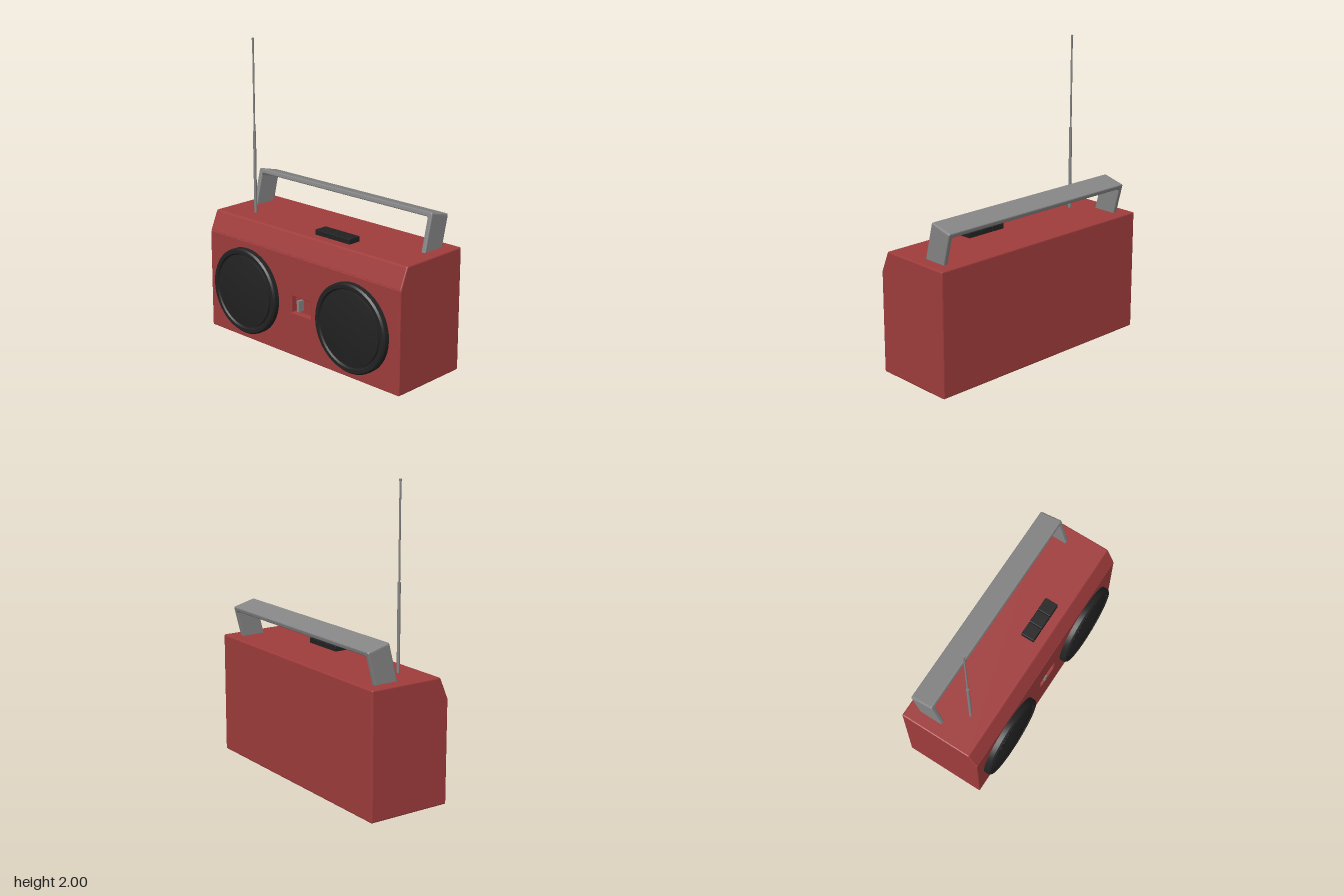
import * as THREE from 'three';
import { toCreasedNormals } from 'three/addons/utils/BufferGeometryUtils.js';
import { RoundedBoxGeometry } from 'three/addons/geometries/RoundedBoxGeometry.js';

const paint = (name, color) => {
  const m = new THREE.MeshStandardMaterial({ color });
  m.name = name;
  return m;
};

// Closed outline with its corners rounded by radius r
function outline(points, r) {
  const pts = points.map(([x, y]) => new THREE.Vector2(x, y));
  const shape = new THREE.Shape();
  pts.forEach((p, i) => {
    const prev = pts[(i + pts.length - 1) % pts.length];
    const next = pts[(i + 1) % pts.length];
    const a = prev.clone().sub(p).setLength(r).add(p);
    const b = next.clone().sub(p).setLength(r).add(p);
    if (i === 0) shape.moveTo(a.x, a.y);
    else shape.lineTo(a.x, a.y);
    shape.quadraticCurveTo(p.x, p.y, b.x, b.y);
  });
  shape.closePath();
  return shape;
}

// Extrusion centred on its depth, with a small bevel inside the outline
function slab(shape, depth, bevel) {
  const geo = new THREE.ExtrudeGeometry(shape, {
    depth: depth - 2 * bevel, bevelEnabled: true, bevelThickness: bevel,
    bevelSize: bevel, bevelOffset: -bevel, bevelSegments: 2, curveSegments: 3,
  });
  return geo.translate(0, 0, bevel - depth / 2);
}

export function createModel() {
  const model = new THREE.Group();
  model.name = 'radio';
  const red = paint('red casing', 0xa03c3c);
  const black = paint('black plastic', 0x222222);
  const grey = paint('grey metal', 0x858585);

  const add = (name, geo, mat, x = 0, y = 0, z = 0, parent = model) => {
    const mesh = new THREE.Mesh(geo, mat);
    mesh.name = name;
    mesh.position.set(x, y, z);
    parent.add(mesh);
    return mesh;
  };

  // Casing: side profile with a sloped upper edge
  add('casing', slab(outline([
    [-0.215, 0], [0.315, 0], [0.315, 0.82], [-0.195, 0.82], [-0.255, 0.68], [-0.215, 0.68],
  ], 0.01), 1.7, 0.008), red);

  // Speaker panel with a recessed slot for the switch
  const panel = outline([[-0.85, 0], [0.85, 0], [0.85, 0.685], [-0.85, 0.685]], 0.01);
  const slot = new THREE.Path();
  slot.moveTo(-0.07, 0.3).lineTo(-0.07, 0.41).lineTo(0.1, 0.41).lineTo(0.1, 0.3).closePath();
  panel.holes.push(slot);
  add('speakerPanel', slab(panel, 0.066, 0.006).rotateY(-Math.PI / 2).scale(1, 1, 1), red, -0.222, 0, -0.03 + 0.03);

  // Switch lever inside the slot
  add('switchLever', new THREE.BoxGeometry(0.05, 0.075, 0.02), grey, -0.235, 0.355, -0.01);

  // Speakers: rim, groove and domed cover
  const profile = [
    [0.295, 0], [0.295, 0.034], [0.285, 0.046], [0.262, 0.046], [0.254, 0.032], [0.247, 0.032], [0.245, 0.044],
  ].map(([r, h]) => new THREE.Vector2(r, h));
  for (let i = 5; i >= 0; i--) {
    const t = i / 6;
    profile.push(new THREE.Vector2(0.245 * t, 0.066 - 0.022 * t * t));
  }
  const speaker = toCreasedNormals(new THREE.LatheGeometry(profile, 40), 0.5).rotateZ(Math.PI / 2);
  for (const z of [-0.484, 0.469]) add('speaker', speaker, black, -0.254, 0.345, z);

  // Row of push buttons
  for (let i = 0; i < 3; i++) {
    add('pushButton', new RoundedBoxGeometry(0.095, 0.045, 0.097, 2, 0.004), black, -0.083, 0.832, 0.07 + i * 0.101);
  }

  // Carrying handle, tilted back
  const arch = outline([
    [-0.765, -0.05], [-0.733, -0.05], [-0.733, 0.201], [0.733, 0.201],
    [0.733, -0.05], [0.765, -0.05], [0.765, 0.233], [-0.765, 0.233],
  ], 0.014);
  const handle = add('handle', slab(arch, 0.162, 0.007).rotateY(Math.PI / 2), grey, 0.15, 0.82, 0);
  handle.rotation.z = -0.25;

  // Telescopic antenna
  const antenna = new THREE.Group();
  antenna.name = 'antenna';
  antenna.position.set(-0.057, 0, -0.612);
  model.add(antenna);
  for (const [r, y0, y1] of [[0.01, 0.8, 1.38], [0.006, 1.38, 1.992]]) {
    add('antennaSection', new THREE.CylinderGeometry(r, r, y1 - y0, 16), grey, 0, (y0 + y1) / 2, 0, antenna);
  }
  add('antennaTip', new THREE.CylinderGeometry(0.008, 0.008, 0.012, 16), grey, 0, 1.994, 0, antenna);

  return model;
}
